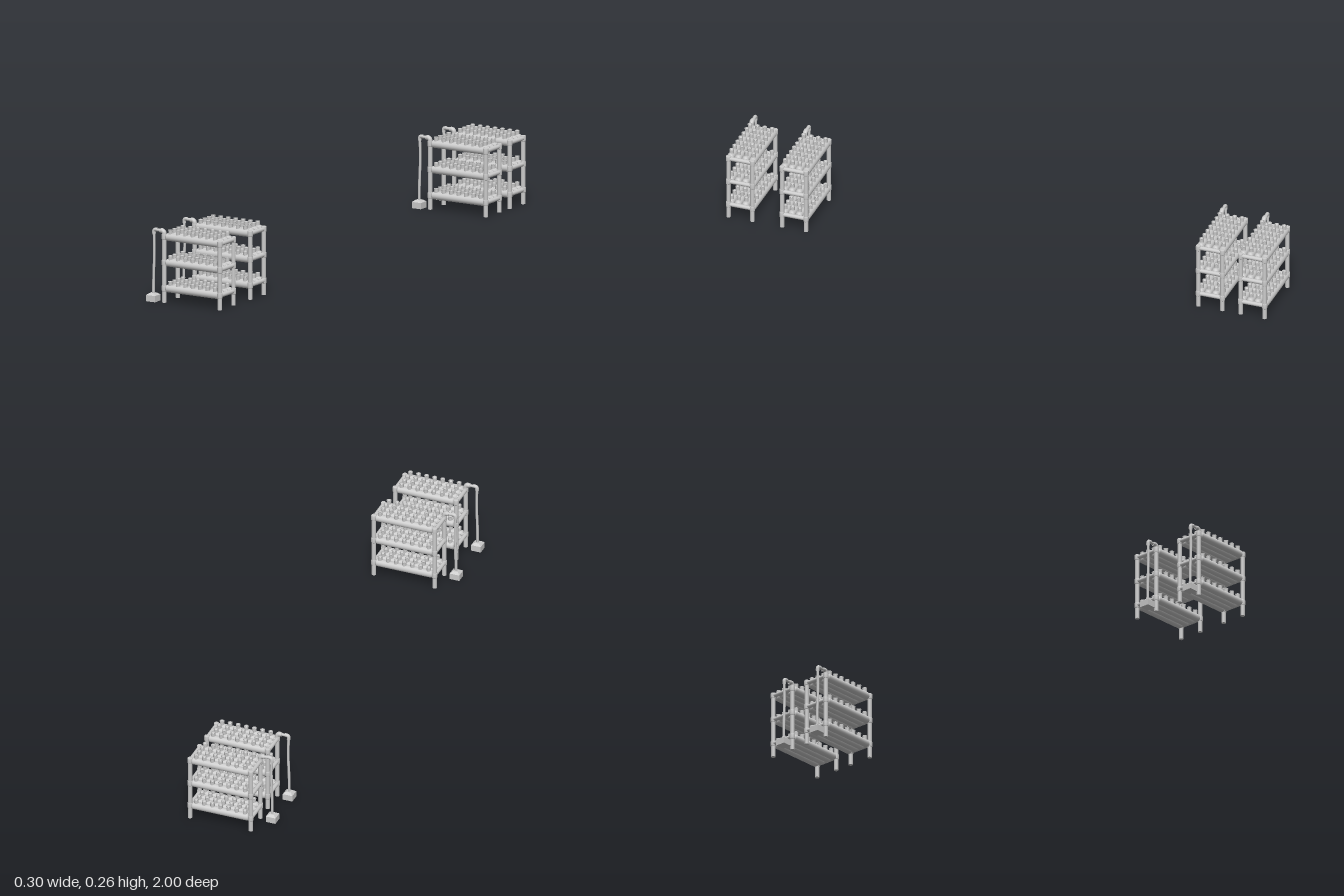
import * as THREE from 'three';

const mat = new THREE.MeshStandardMaterial({ color: 0xcccccc });
const matDouble = new THREE.MeshStandardMaterial({ color: 0xcccccc, side: THREE.DoubleSide });
const matFlat = new THREE.MeshStandardMaterial({ color: 0xcccccc, flatShading: true });

const LEFT_X = -0.087, RIGHT_X = 0.139, POST_Z = 0.044;
const TIERS = [0.05, 0.141, 0.232];
const ROWS = [-0.0405, -0.0135, 0.0135, 0.0405];
const CUPS_X = [-0.064, -0.0335, -0.003, 0.027, 0.057, 0.087, 0.117];

function add(parent, name, geometry, x = 0, y = 0, z = 0, material = mat) {
  const mesh = new THREE.Mesh(geometry, material);
  mesh.name = name;
  mesh.position.set(x, y, z);
  parent.add(mesh);
  return mesh;
}

const lathe = (pts, sides) =>
  new THREE.LatheGeometry(pts.map(([r, y]) => new THREE.Vector2(r, y)), sides);

// Growing channel: a closed tube with stepped, bevelled ends, laid along x
const half = 0.1055;
const channelGeo = lathe([
  [0.007, -0.113], [0.007, -half], [0.0105, -half], [0.0135, -half + 0.005],
  [0.0135, half - 0.005], [0.0105, half], [0.007, half], [0.007, 0.113],
], 16).rotateZ(-Math.PI / 2);

// Open planting cup with a recessed floor
const cupGeo = lathe([
  [0.0078, -0.004], [0.0078, 0.0105], [0.0085, 0.0105], [0.0085, 0.0125],
  [0.0065, 0.0125], [0.006, 0.004], [0, 0.004],
], 10);

const postGeo = h => new THREE.CylinderGeometry(0.0078, 0.0078, h, 14).translate(0, h / 2, 0);
const headerGeo = new THREE.CylinderGeometry(0.0075, 0.0075, POST_Z * 2, 12).rotateX(Math.PI / 2);
const collarGeo = lathe([
  [0, -0.01], [0.008, -0.01], [0.0095, -0.008], [0.0095, 0.008], [0.008, 0.01], [0, 0.01],
], 14);
const sleeveGeo = new THREE.CylinderGeometry(0.007, 0.007, 0.008, 12);

function tube(points, radius, segments) {
  const curve = new THREE.CatmullRomCurve3(points.map(([x, y]) => new THREE.Vector3(x, y, 0)));
  return new THREE.TubeGeometry(curve, segments, radius, 10, false);
}

// Pump box with a hipped lid, riser hose and the elbows feeding the front left post
function createPump() {
  const pump = new THREE.Group();
  pump.name = 'pump';
  add(pump, 'pumpBox', new THREE.BoxGeometry(0.036, 0.022, 0.036), -0.132, 0.011, 0);
  const lid = new THREE.CylinderGeometry(0.009 * Math.SQRT2, 0.018 * Math.SQRT2, 0.007, 4)
    .rotateY(Math.PI / 4);
  add(pump, 'pumpLid', lid, -0.132, 0.0255, 0, matFlat);
  add(pump, 'riserHose', tube([
    [-0.131, 0.026], [-0.1305, 0.09], [-0.128, 0.15], [-0.1275, 0.19], [-0.129, 0.242],
  ], 0.0047, 20), 0, 0, 0, matDouble);
  add(pump, 'upperElbow', tube([
    [-0.129, 0.238], [-0.129, 0.247], [-0.1265, 0.252], [-0.121, 0.2535], [-0.115, 0.2535],
  ], 0.0066, 14), 0, 0, 0, matDouble);
  const link = add(pump, 'crossPipe', new THREE.CylinderGeometry(0.0053, 0.0053, 0.03, 10), -0.109, 0.2525, 0);
  link.rotation.z = Math.PI / 2;
  add(pump, 'feedElbow', tube([
    [-0.101, 0.252], [-0.094, 0.252], [-0.0885, 0.248], [LEFT_X, 0.241], [LEFT_X, 0.232],
  ], 0.0085, 14), 0, 0, 0, matDouble);
  add(pump, 'feedSleeve', sleeveGeo, -0.1, 0.252, 0).rotation.z = Math.PI / 2;
  pump.position.z = POST_Z;
  return pump;
}

function createRack() {
  const rack = new THREE.Group();
  rack.name = 'plantRack';

  // Corner posts with a collar at every tier
  for (const x of [LEFT_X, RIGHT_X]) {
    for (const z of [-POST_Z, POST_Z]) {
      add(rack, 'post', postGeo(0.238), x, 0, z);
      for (const y of TIERS) add(rack, 'postCollar', collarGeo, x, y, z);
    }
    for (const y of TIERS) add(rack, 'headerPipe', headerGeo, x, y, 0);
  }

  // Three tiers of four channels, seven cups on each
  const midX = (LEFT_X + RIGHT_X) / 2;
  for (const y of TIERS) {
    for (const z of ROWS) {
      add(rack, 'growChannel', channelGeo, midX, y, z);
      for (const x of CUPS_X) add(rack, 'plantCup', cupGeo, x, y + 0.0135, z, matDouble);
    }
  }

  rack.add(createPump());
  return rack;
}

export function createModel() {
  const model = new THREE.Group();
  model.name = 'plantRacks';
  // Two pairs of racks, far apart along z
  for (const z of [-0.945, -0.79, 0.741, 0.938]) {
    const rack = createRack();
    rack.position.z = z;
    model.add(rack);
  }
  return model;
}
